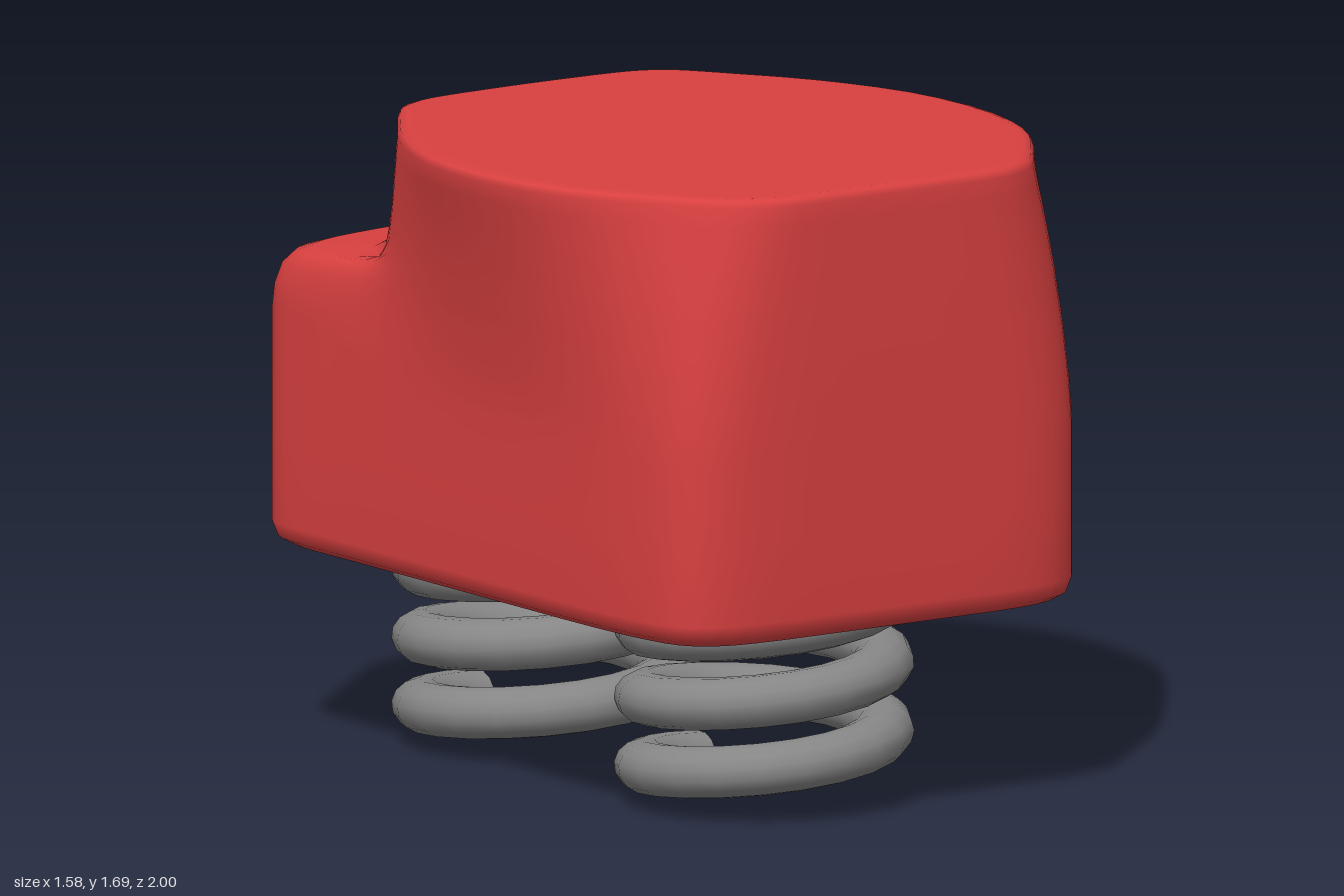
import * as THREE from 'three';

const red = new THREE.MeshStandardMaterial({ color: 0xd94040, name: 'red' });
const grey = new THREE.MeshStandardMaterial({ color: 0x868686, name: 'grey' });

// Half outlines from front centre to back centre: [base x, base z, top x, top z]
const OUTLINE = [
  [0, 1, 0, 0.995], [0.25, 1, 0.2, 0.995], [0.44, 0.995, 0.36, 0.985],
  [0.56, 0.965, 0.47, 0.93], [0.625, 0.9, 0.54, 0.85], [0.65, 0.8, 0.61, 0.75],
  [0.665, 0.65, 0.69, 0.63], [0.67, 0.45, 0.76, 0.45], [0.67, 0.22, 0.79, 0.22],
  [0.67, 0, 0.77, 0], [0.67, -0.2, 0.7, -0.2], [0.67, -0.4, 0.62, -0.35],
  [0.67, -0.6, 0.55, -0.45], [0.67, -0.78, 0.48, -0.55], [0.65, -0.87, 0.43, -0.61],
  [0.58, -0.92, 0.36, -0.65], [0.45, -0.955, 0.28, -0.665], [0.25, -0.985, 0.15, -0.672],
  [0, -1, 0, -0.675],
];

// Rows up the wall: [front y, front blend, back y, back blend, inset]
const ROWS = [
  [0.525, 0, 0.525, 0, 0.06], [0.528, 0, 0.528, 0, 0.04], [0.545, 0, 0.545, 0, 0.012],
  [0.585, 0, 0.585, 0, 0], [0.8, 0, 0.8, 0, 0], [1.0, 0, 1.15, 0, 0],
  [1.1, 0.07, 1.21, 0.02, 0], [1.17, 0.15, 1.265, 0.08, 0], [1.24, 0.23, 1.298, 0.18, 0],
  [1.29, 0.3, 1.312, 0.32, 0], [1.34, 0.38, 1.316, 0.58, 0], [1.39, 0.45, 1.318, 0.8, 0],
  [1.44, 0.54, 1.335, 0.9, 0], [1.5, 0.65, 1.38, 0.95, 0], [1.56, 0.77, 1.47, 0.98, 0],
  [1.62, 0.9, 1.6, 1, 0], [1.67, 1, 1.67, 1, 0], [1.687, 1, 1.687, 1, 0.008],
  [1.692, 1, 1.692, 1, 0.025], [1.692, 1, 1.692, 1, 0.05],
];

// Smooth one pair of outline columns and mirror it into a full loop
function loop(cx, cz) {
  const pts = OUTLINE.map((p) => new THREE.Vector3(p[cx], 0, p[cz]));
  const mirrored = pts.slice(1, -1).reverse().map((p) => new THREE.Vector3(-p.x, 0, p.z));
  const all = [...pts, ...mirrored];
  const curve = new THREE.CatmullRomCurve3(all, true);
  const n = all.length * 2;
  return Array.from({ length: n }, (_, i) => curve.getPoint(i / n));
}

// Body: base outline blended into the flared top, with a shelf at the back
function makeBody() {
  const base = loop(0, 1), top = loop(2, 3), n = base.length;
  const pos = [], idx = [];
  for (const [fy, fs, by, bs, inset] of ROWS) {
    for (let i = 0; i < n; i++) {
      const w = 1 - THREE.MathUtils.smoothstep(base[i].z, -0.75, -0.15);
      const p = base[i].clone().lerp(top[i], THREE.MathUtils.lerp(fs, bs, w));
      pos.push(p.x * (1 - inset / 0.7), THREE.MathUtils.lerp(fy, by, w), 0.1 + (p.z - 0.1) * (1 - inset));
    }
  }
  for (let r = 0; r < ROWS.length - 1; r++) {
    for (let i = 0; i < n; i++) {
      const a = r * n + i, b = r * n + (i + 1) % n;
      idx.push(a, b, b + n, a, b + n, a + n);
    }
  }
  // Flat top and bottom
  const last = (ROWS.length - 1) * n, c = ROWS.length * n;
  pos.push(0, 0.525, 0.1, 0, 1.692, 0.1);
  for (let i = 0; i < n; i++) {
    const j = (i + 1) % n;
    idx.push(j, i, c, last + i, last + j, c + 1);
  }
  const g = new THREE.BufferGeometry();
  g.setAttribute('position', new THREE.Float32BufferAttribute(pos, 3));
  g.setIndex(idx);
  g.computeVertexNormals();
  const mesh = new THREE.Mesh(g, red);
  mesh.name = 'body';
  return mesh;
}

// Spring: flattened wire wound about a vertical axis
const WIRE = 0.08, FLAT = 0.85, PITCH = 0.18, TURNS = 2.8;
class Helix extends THREE.Curve {
  constructor(rx, rz) { super(); this.rx = rx; this.rz = rz; }
  getPoint(t, target = new THREE.Vector3()) {
    const a = t * TURNS * Math.PI * 2;
    return target.set(-this.rx * Math.sin(a), (0.069 + PITCH * TURNS * t) / FLAT, -this.rz * Math.cos(a));
  }
}

function makeSpring(name, x, z, rx, rz) {
  const group = new THREE.Group();
  group.name = name;
  const coil = new THREE.Mesh(new THREE.TubeGeometry(new Helix(rx, rz), 56, WIRE, 14).scale(1, FLAT, 1), grey);
  coil.name = 'coil';
  const end = new THREE.Mesh(new THREE.CircleGeometry(WIRE, 14).rotateY(Math.PI / 2).scale(1, FLAT, 1), grey);
  end.name = 'wireEnd';
  end.position.set(0, 0.069, -rz);
  group.add(coil, end);
  group.position.set(x, 0, z);
  return group;
}

export function createModel() {
  const model = new THREE.Group();
  model.name = 'springBlock';
  model.add(
    makeBody(),
    makeSpring('frontSpring', -0.06, 0.495, 0.315, 0.295),
    makeSpring('backSpring', -0.055, -0.485, 0.325, 0.315),
  );
  return model;
}
